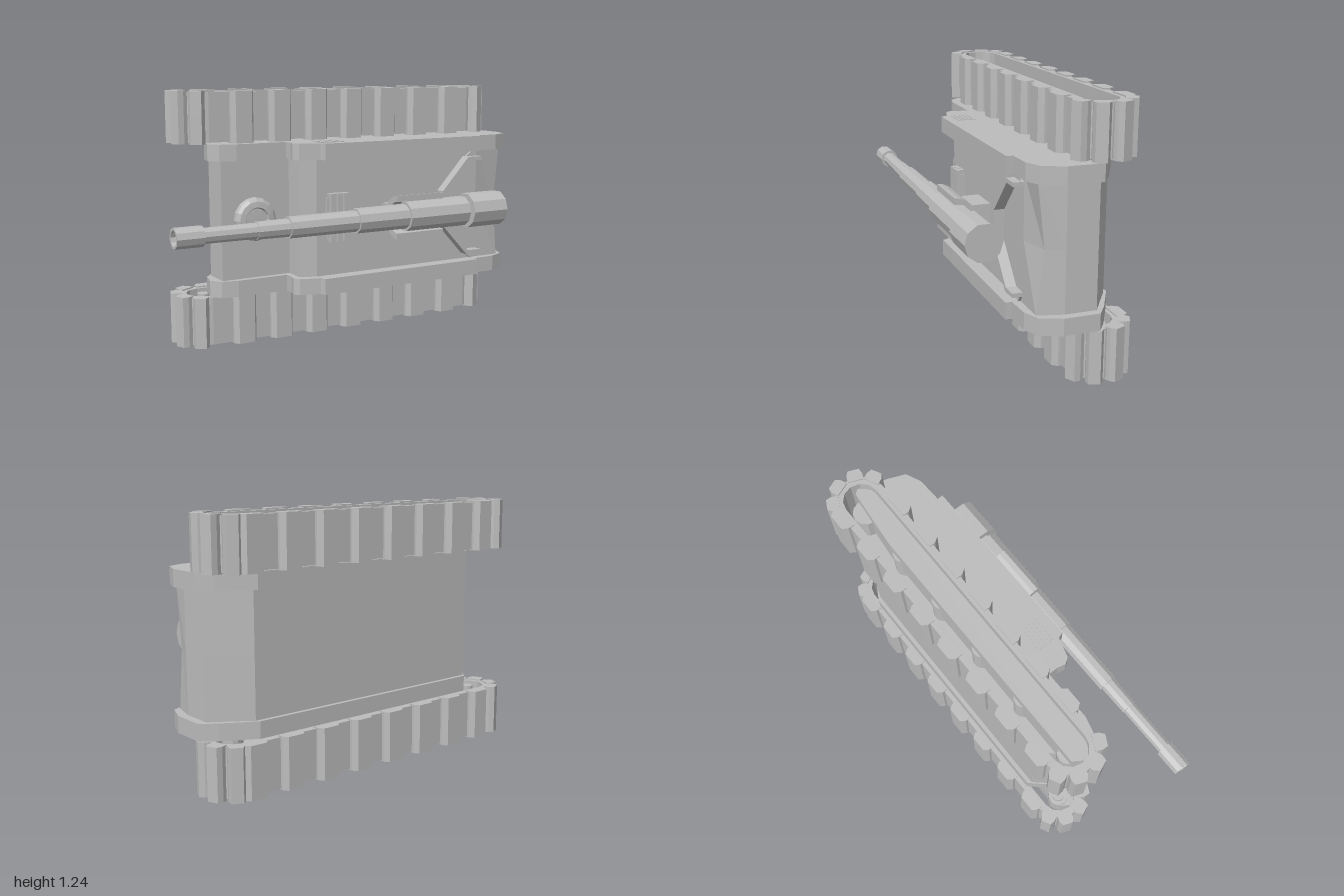
import * as THREE from 'three';
import { toCreasedNormals } from 'three/addons/utils/BufferGeometryUtils.js';

const WIDTH = 1.24; // the vehicle lies on its side: its width runs along y, its height along z

export function createModel() {
  const root = new THREE.Group();
  root.name = 'trackedGunCarrier';
  const grey = new THREE.MeshStandardMaterial({ color: 0xbcbcbc });
  grey.name = 'plain grey';

  const add = (name, geometry, parent = root) => {
    const mesh = new THREE.Mesh(geometry, grey);
    mesh.name = name;
    parent.add(mesh);
    return mesh;
  };
  const box = (name, x0, x1, y0, y1, z0, z1, parent) =>
    add(name, new THREE.BoxGeometry(x1 - x0, y1 - y0, z1 - z0), parent)
      .position.set((x0 + x1) / 2, (y0 + y1) / 2, (z0 + z1) / 2);
  // Outline in (x, z), extruded along y from y0 to y1
  const flat = (points) => points.map(([x, z]) => new THREE.Vector2(x, -z));
  const prism = (name, points, y0, y1, parent, hole) => {
    const shape = new THREE.Shape(flat(points));
    if (hole) shape.holes.push(new THREE.Path(flat(hole)));
    const g = new THREE.ExtrudeGeometry(shape, { depth: y1 - y0, steps: 2, bevelEnabled: false });
    g.rotateX(-Math.PI / 2).translate(0, y0, 0);
    return add(name, g, parent);
  };
  // The same y range on the near or the mirrored far side
  const side = (far, y0, y1) => (far ? [WIDTH - y1, WIDTH - y0] : [y0, y1]);

  // Hull body with sloped nose and tail
  const hull = prism('hull', [
    [-0.64, -0.04], [-0.28, -0.04], [-0.28, 0.07], [-0.2, 0.1], [0.77, 0.1], [0.92, 0.1],
    [0.95, -0.02], [0.95, -0.17], [0.77, -0.29], [-0.55, -0.29], [-0.64, -0.19],
  ], 0.32, 0.92).geometry;
  // The nose edge dips towards the middle
  const p = hull.attributes.position;
  for (let i = 0; i < p.count; i++)
    if (Math.abs(p.getX(i) - 0.92) < 0.01 && Math.abs(p.getY(i) - 0.62) < 0.01) p.setZ(i, 0.066);
  hull.computeVertexNormals();

  // Side walls standing proud of the hull
  const wall = [
    [-0.69, -0.08], [-0.65, -0.03], [-0.57, -0.01], [-0.31, -0.01], [-0.31, 0.04], [-0.32, 0.08],
    [-0.3, 0.11], [-0.2, 0.14], [-0.19, 0.17], [0.74, 0.17], [0.74, 0.14], [0.87, 0.135],
    [0.95, 0.1], [0.99, 0], [0.99, -0.17], [0.92, -0.22], [0.76, -0.31], [-0.54, -0.31], [-0.67, -0.17],
  ];
  // Track belt: a stadium outline
  const X0 = -0.675, X1 = 0.84, ZC = -0.21, R = 0.122;
  const stadium = (r) => {
    const pts = [];
    for (const [cx, start] of [[X1, 90], [X0, 270]])
      for (let i = 0; i <= 6; i++) {
        const a = THREE.MathUtils.degToRad(start - i * 30);
        pts.push([cx + r * Math.cos(a), ZC + r * Math.sin(a)]);
      }
    return pts;
  };
  // Cleat: x, z on the belt, outward direction in degrees, half width
  const cleats = [];
  for (let i = 0; i < 8; i++) cleats.push([-0.61 + i * 0.203, ZC - R, -90, 0.06]);
  for (let i = 0; i < 7; i++) cleats.push([-0.51 + i * 0.203, ZC + R, 90, 0.06]);
  for (const [cx, turn] of [[X1, 0], [X0, 180]])
    for (const d of [-63, -22, 22, 63]) {
      const a = THREE.MathUtils.degToRad(turn + d);
      cleats.push([cx + R * Math.cos(a), ZC + R * Math.sin(a), turn + d, 0.038]);
    }

  for (const far of [false, true]) {
    const label = far ? 'upper' : 'lower';
    prism(label + 'SideWall', wall, ...side(far, 0.25, 0.33));

    const track = new THREE.Group();
    track.name = label + 'Track';
    root.add(track);
    prism('belt', stadium(R), ...side(far, 0.006, 0.244), track, stadium(0.084));
    for (const [x, z, deg, w] of cleats) {
      const a = THREE.MathUtils.degToRad(deg), c = Math.cos(a), s = Math.sin(a);
      const at = (t, out) => [x - s * t + c * out, z + c * t + s * out];
      prism('cleat', [at(w, -0.02), at(w, 0.012), at(w * 0.7, 0.038), at(-w * 0.7, 0.038),
        at(-w, 0.012), at(-w, -0.02)], ...side(far, 0, 0.25), track);
    }
    // Track frame set back inside the belt
    prism('trackFrame', [
      [-0.75, -0.19], [-0.72, -0.235], [0.6, -0.235], [0.9, -0.205], [0.92, -0.18],
      [0.87, -0.128], [-0.69, -0.128], [-0.74, -0.15],
    ], ...side(far, 0.045, 0.2), track);
    // End wheels and road wheels
    const wheel = (name, x, z, r, y0, y1) => {
      const [a, b] = side(far, y0, y1);
      const m = add(name, toCreasedNormals(new THREE.CylinderGeometry(r, r, b - a, 12), 0.3), track);
      m.position.set(x, (a + b) / 2, z);
    };
    for (const [x, r] of [[X0, 0.05], [X1 - 0.02, 0.065]]) {
      wheel('endWheel', x, ZC, r, 0.1, 0.215);
      wheel('endWheelHub', x, ZC, 0.03, 0.2, 0.24);
    }
    for (let i = 0; i < 5; i++) wheel('roadWheel', -0.36 + i * 0.3, -0.205, 0.045, 0.1, 0.25);
    // Louvred vent on the outer face of the side wall
    for (let i = 0; i < 5; i++)
      box('ventSlat', -0.19, -0.06, ...side(far, 0.247, 0.251), 0.03 + i * 0.02, 0.042 + i * 0.02);

    // Angled splash guard beside the breech, with a low web out to the side wall
    const slab = (name, points, z1) => {
      const shape = new THREE.Shape(points.map(([px, py]) => new THREE.Vector2(px, far ? WIDTH - py : py)));
      add(name, new THREE.ExtrudeGeometry(shape, { depth: z1 - 0.08, bevelEnabled: false })).position.z = 0.08;
    };
    slab(label + 'SplashGuard',
      [[0.53, 0.55], [0.69, 0.38], [0.77, 0.38], [0.77, 0.36], [0.68, 0.36], [0.52, 0.53]], 0.15);
    slab(label + 'GuardWeb', [[0.68, 0.37], [0.77, 0.37], [0.74, 0.325]], 0.112);
  }
  box('splashGuardBack', 0.52, 0.535, 0.53, 0.71, 0.08, 0.15);

  // Slatted rack on the deck
  for (let i = 0; i < 3; i++)
    box('rackSlat', -0.14 + i * 0.036, -0.112 + i * 0.036, 0.5, 0.74, 0.09, 0.14);
  box('rackBase', -0.15, -0.03, 0.52, 0.72, 0.09, 0.115);

  // Gun pedestal carrying a half-round cradle under the barrel
  box('pedestal', 0.18, 0.35, 0.575, 0.67, 0.09, 0.205);
  const trough = new THREE.Shape();
  trough.absarc(0, 0, 0.108, 0, Math.PI, false);
  trough.absarc(0, 0, 0.078, Math.PI, 0, true);
  const cradle = new THREE.ExtrudeGeometry(trough, { depth: 0.275, curveSegments: 6, bevelEnabled: false });
  // Shape x becomes y, shape y becomes -z, depth runs along -x
  cradle.applyMatrix4(new THREE.Matrix4().makeBasis(
    new THREE.Vector3(0, 1, 0), new THREE.Vector3(0, 0, -1), new THREE.Vector3(-1, 0, 0)));
  add('gunCradle', cradle).position.set(0.415, 0.622, 0.297);

  // Round fan cover on the rear deck
  const fan = new THREE.LatheGeometry([[0.11, -0.06], [0.105, -0.015], [0.09, -0.004], [0.062, 0],
    [0.056, -0.01], [0, -0.01]]
    .map((v) => new THREE.Vector2(...v)), 16).rotateX(Math.PI / 2);
  add('fanCover', toCreasedNormals(fan, 0.2)).position.set(-0.47, 0.62, 0);

  // Stepped gun barrel with open muzzle and heavy breech: [radius, x]
  const barrel = new THREE.LatheGeometry([
    [0, -0.85], [0.036, -0.85], [0.036, -1], [0.048, -1], [0.048, -0.87], [0.036, -0.87], [0.037, -0.61],
    [0.041, -0.61], [0.043, -0.45], [0.051, -0.45], [0.052, -0.09], [0.061, -0.09], [0.062, 0.19],
    [0.075, 0.19], [0.076, 0.545], [0.055, 0.545], [0.055, 0.562], [0.089, 0.562], [0.089, 0.77], [0, 0.77],
  ].map((v) => new THREE.Vector2(...v)), 10).rotateZ(-Math.PI / 2);
  add('gunBarrel', toCreasedNormals(barrel, 0.05)).position.set(0, 0.625, 0.28);

  return root;
}
